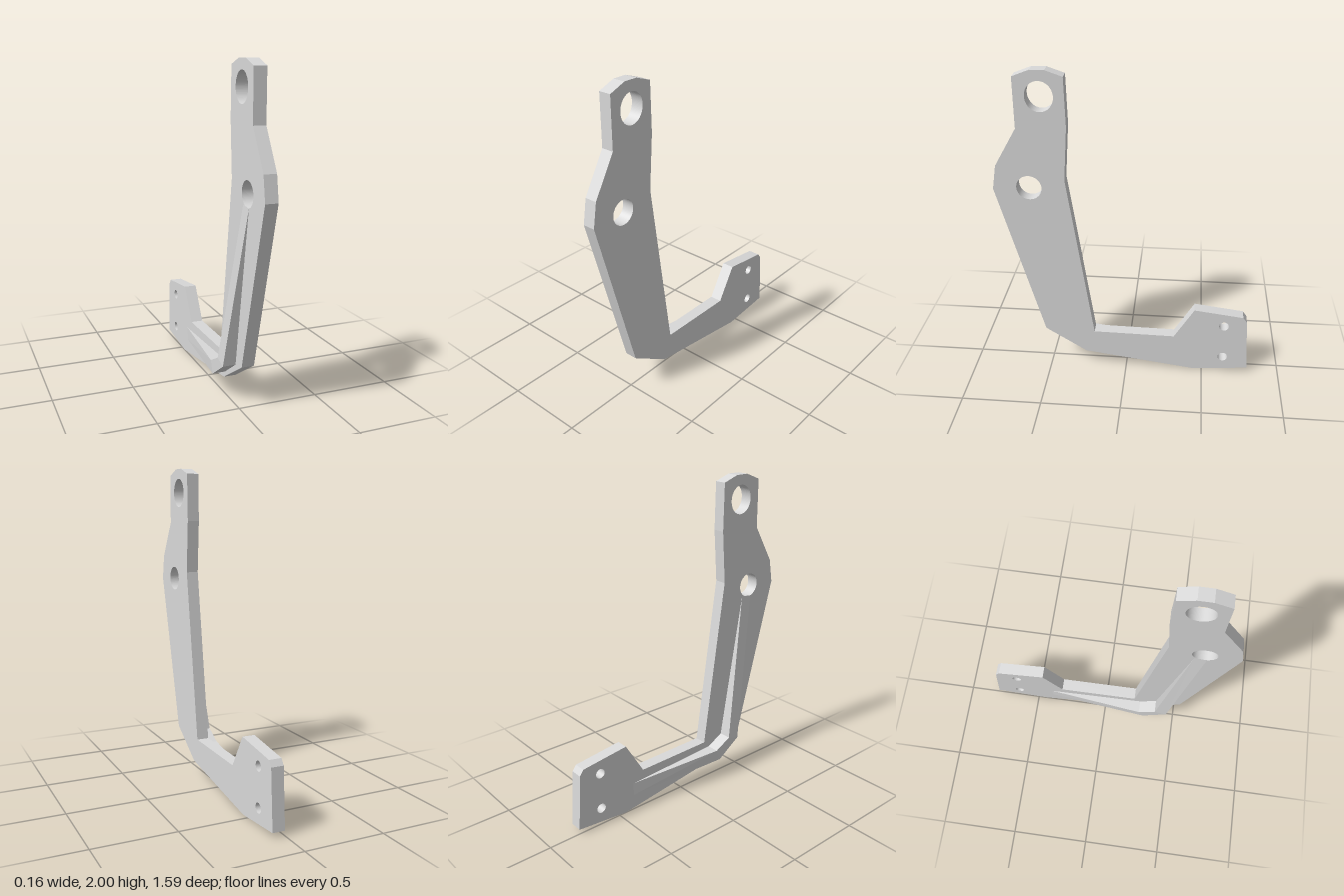
import * as THREE from 'three';

const THICKNESS = 0.077;
const RIB_HEIGHT = 0.08;

// Flat bracket plate: outline in (z, y), extruded along x
function plateGeometry() {
  const outline = [
    [0.637, 1.96], [0.535, 2], [0.45, 2], [0.348, 1.965], [0.342, 1.67], [0.365, 1.34],
    [0.208, 0.26], [-0.31, 0.253], [-0.437, 0.465], [-0.748, 0.425], [-0.773, 0.39],
    [-0.796, 0.03], [-0.45, 0], [0.265, 0.1], [0.528, 0.268], [0.798, 1.27],
    [0.773, 1.42], [0.637, 1.655],
  ];
  const shape = new THREE.Shape(outline.map(([z, y]) => new THREE.Vector2(-z, y)));

  // Holes: z, y, radius along z, radius along y
  const holes = [
    [0.49, 1.848, 0.082, 0.09],
    [0.58, 1.285, 0.076, 0.076],
    [-0.63, 0.352, 0.031, 0.031],
    [-0.633, 0.11, 0.031, 0.031],
  ];
  for (const [z, y, rz, ry] of holes) {
    shape.holes.push(new THREE.Path().absellipse(-z, y, rz, ry, 0, Math.PI * 2, false));
  }
  const geometry = new THREE.ExtrudeGeometry(shape, {
    depth: THICKNESS, bevelEnabled: false, curveSegments: 40,
  });
  return geometry.rotateY(Math.PI / 2);
}

// Stiffening rib on the -x face: full height at the bend, fading out along both arms
function ribGeometry() {
  // Inner z, y; outer z, y; height
  const stations = [
    [0.525, 1.22, 0.6, 1.21, 0],
    [0.36, 0.275, 0.44, 0.25, RIB_HEIGHT],
    [0.25, 0.215, 0.28, 0.14, RIB_HEIGHT],
    [-0.39, 0.185, -0.385, 0.1, 0],
  ].map(([iz, iy, oz, oy, h]) => ({
    innerBase: new THREE.Vector3(0, iy, iz),
    innerTop: new THREE.Vector3(-h, iy, iz),
    outerTop: new THREE.Vector3(-h, oy, oz),
    outerBase: new THREE.Vector3(0, oy, oz),
  }));

  const points = [];
  const triangle = (a, b, c) => {
    if (new THREE.Triangle(a, b, c).getArea() > 1e-8) points.push(a, b, c);
  };
  const strips = [['innerBase', 'innerTop'], ['innerTop', 'outerTop'], ['outerTop', 'outerBase']];
  for (let k = 0; k < stations.length - 1; k++) {
    const s = stations[k], t = stations[k + 1];
    for (const [p, q] of strips) {
      triangle(s[p], t[p], t[q]);
      triangle(s[p], t[q], s[q]);
    }
  }
  const geometry = new THREE.BufferGeometry().setFromPoints(points);
  geometry.computeVertexNormals();
  return geometry;
}

export function createModel() {
  const metal = new THREE.MeshStandardMaterial({ color: 0xd9d9d9 });
  metal.name = 'light grey metal';

  const group = new THREE.Group();
  group.name = 'bracket';
  const addPart = (name, geometry) => {
    const mesh = new THREE.Mesh(geometry, metal);
    mesh.name = name;
    group.add(mesh);
  };
  addPart('plate', plateGeometry());
  addPart('stiffeningRib', ribGeometry());
  return group;
}
